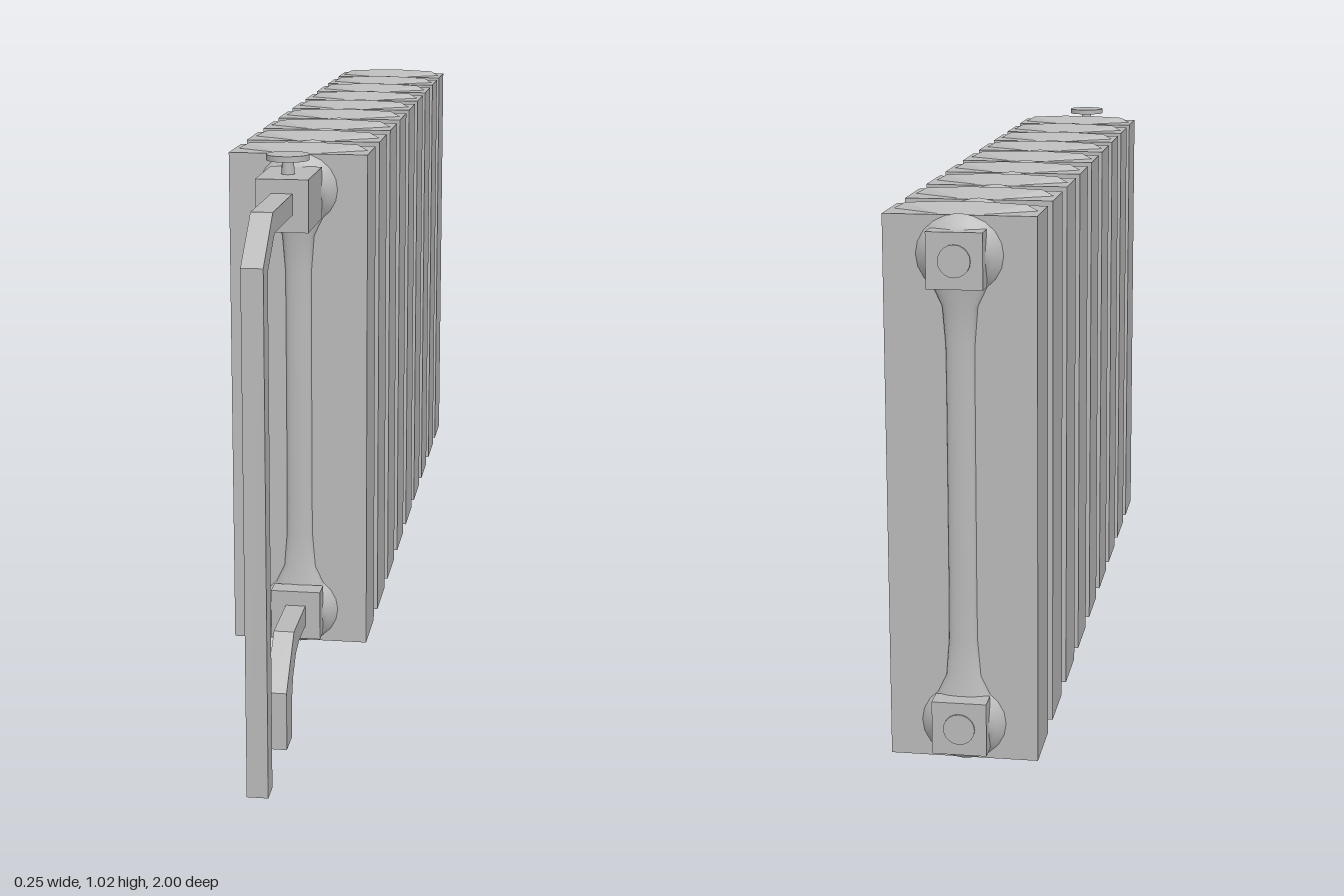
import * as THREE from 'three';
import { ConvexGeometry } from 'three/addons/geometries/ConvexGeometry.js';

export function createModel() {
  const root = new THREE.Group();
  root.name = 'radiator';
  const smooth = new THREE.MeshStandardMaterial({ color: 0xbababa });
  smooth.name = 'grey metal';

  const add = (name, geometry, x, y, z, parent = root) => {
    const mesh = new THREE.Mesh(geometry, smooth);
    mesh.name = name;
    mesh.position.set(x, y, z);
    parent.add(mesh);
    return mesh;
  };

  const COUNT = 9, PITCH = 0.173, FIRST = 0.491, HALF = 0.058;
  const MID = 0.5525, HUB = 0.39; // mid height, hub offset above and below it

  // Shared section geometry
  const body = new THREE.BoxGeometry(0.246, 0.905, HALF * 2);
  const capPoints = [];
  for (const s of [-1, 1]) {
    capPoints.push(
      new THREE.Vector3(s * 0.118, 0, 0),
      new THREE.Vector3(s * 0.098, 0.011, 0),
      new THREE.Vector3(0.03, 0, s * 0.052),
      new THREE.Vector3(-0.03, 0, s * 0.052),
      new THREE.Vector3(s * 0.03, 0.014, 0));
  }
  const cap = new ConvexGeometry(capPoints);

  // Flared half hub, wide on the section face and narrow toward the joint
  const hub = new THREE.LatheGeometry(
    [[0.071, 0], [0.066, 0.006], [0.055, 0.014], [0.047, 0.022], [0.045, 0.03]]
      .map(([r, h]) => new THREE.Vector2(r, h)), 20);
  hub.rotateX(Math.PI / 2);
  hub.scale(1, 0.92, 1);

  // Soft vertical rib on each face of a section, spreading out at both hubs
  const ribPiece = (w, d) => {
    const g = new THREE.CylinderGeometry(1, 1, 0.74, 12, 12, true, -Math.PI / 2, Math.PI);
    const p = g.attributes.position;
    for (let i = 0; i < p.count; i++) {
      const y = p.getY(i);
      const flare = Math.pow(Math.abs(y) / 0.37, 10);
      p.setX(i, p.getX(i) * (w + 0.035 * flare));
      p.setZ(i, p.getZ(i) * (d + 0.012 * flare));
    }
    g.computeVertexNormals();
    return g;
  };
  const rib = ribPiece(0.023, 0.01);

  for (let i = 0; i < COUNT; i++) {
    const section = new THREE.Group();
    section.name = 'section' + (i + 1);
    section.position.z = FIRST - i * PITCH;
    root.add(section);
    add('column', body, 0, MID, 0, section);
    add('topRidge', cap, 0, 1.004, 0, section);
    add('bottomRidge', cap, 0, 0.101, 0, section).rotation.x = Math.PI;
    for (const face of [1, -1]) {
      const turn = face > 0 ? 0 : Math.PI;
      add('faceRib', rib, 0, MID, face * HALF, section).rotation.y = turn;
      for (const s of [-1, 1]) {
        add('hub', hub, 0, MID + s * HUB, face * (HALF - 0.001), section).rotation.y = turn;
      }
    }
  }

  // Square blocks closing both ends of the headers
  const block = (name, y, z0, z1) =>
    add(name, new THREE.BoxGeometry(0.09, 0.09, z1 - z0), 0, y, (z0 + z1) / 2);
  block('valveBody', 0.94, 0.565, 0.72);
  block('lowerFitting', 0.168, 0.565, 0.602);
  const plug = new THREE.CylinderGeometry(0.026, 0.026, 0.004, 20).rotateX(Math.PI / 2);
  for (const y of [0.94, 0.168]) {
    block('endCap', y, -0.997, -0.96);
    add('endPlug', plug, 0, y, -0.998);
  }

  // Valve knob
  add('knobStem', new THREE.CylinderGeometry(0.01, 0.012, 0.03, 12), 0, 0.995, 0.655);
  add('knob', new THREE.CylinderGeometry(0.037, 0.037, 0.01, 24), 0, 1.014, 0.655);

  // Square pipes, outlined in the z-y plane
  const pipe = (name, outline) => {
    const shape = new THREE.Shape(outline.map(([z, y]) => new THREE.Vector2(z, y)));
    const g = new THREE.ExtrudeGeometry(shape, { depth: 0.036, bevelEnabled: false });
    g.translate(0, 0, -0.018);
    g.rotateY(-Math.PI / 2);
    add(name, g, 0, 0, 0);
  };
  pipe('supplyPipe', [
    [0.71, 0.925], [0.71, 0.961], [0.91, 0.961], [1, 0.888], [1, 0],
    [0.96, 0], [0.96, 0.875], [0.895, 0.925]]);
  pipe('returnPipe', [
    [0.59, 0.148], [0.59, 0.186], [0.73, 0.186], [0.813, 0.105], [0.813, 0],
    [0.76, 0], [0.758, 0.065], [0.742, 0.108], [0.71, 0.138], [0.675, 0.148]]);

  return root;
}
